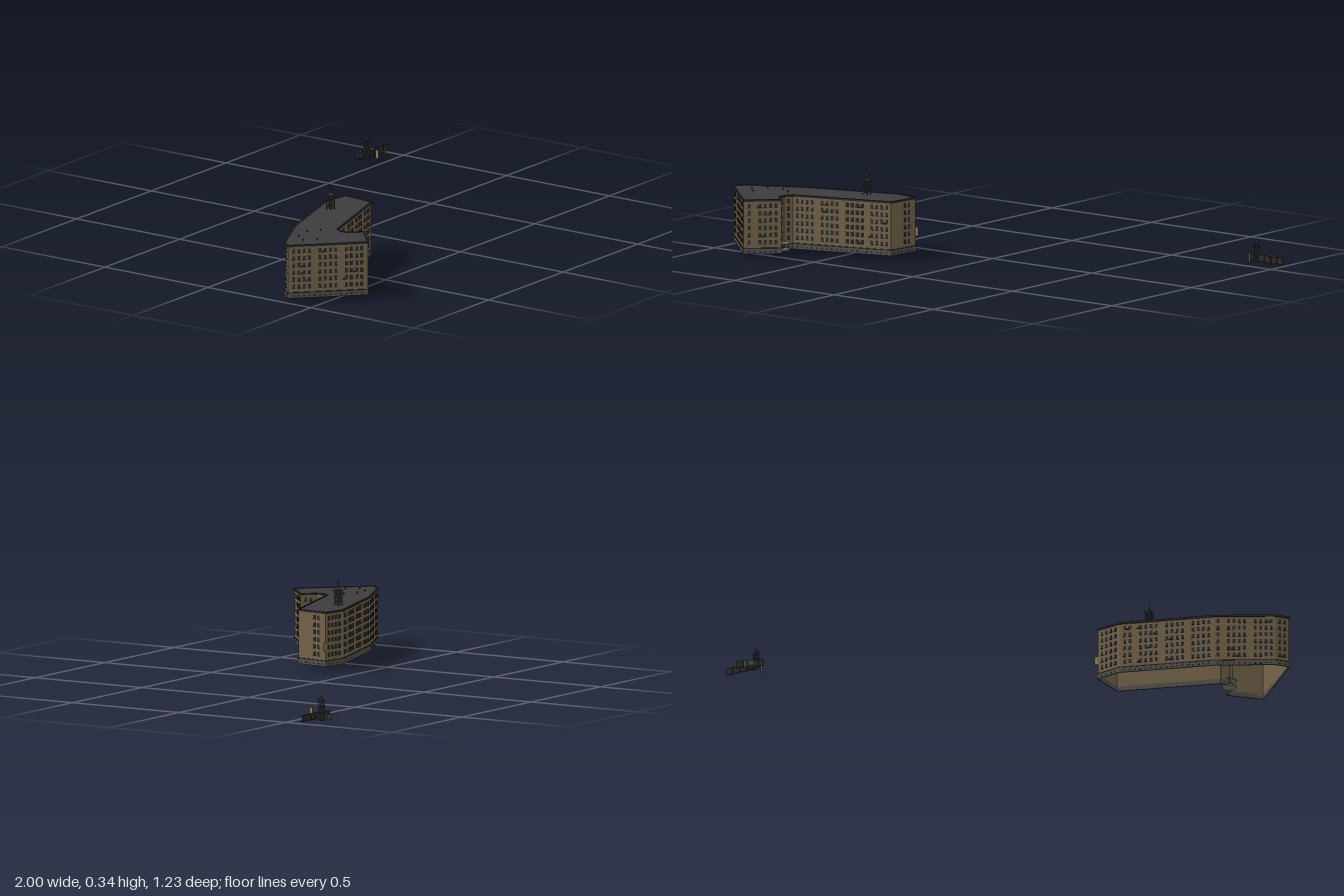
import * as THREE from 'three';
import { mergeGeometries } from 'three/addons/utils/BufferGeometryUtils.js';

const mat = (color) => new THREE.MeshStandardMaterial({ color, side: THREE.DoubleSide });
const WALL = mat(0x75644a), ROOF = mat(0x3c3c3e), STONE = mat(0x55524f), TRIM = mat(0x2e2b29),
  GLASS = mat(0x2a2e36), METAL = mat(0x46484a), BOARD = mat(0x94795a), GREY = mat(0x77787a);

// Footprint corners as [x, z], running clockwise seen from above
const PLAN = [[-0.995, 0.385], [-0.955, 0.342], [-0.74, 0.237], [-0.377, 0.127], [-0.275, 0.142],
  [-0.289, 0.278], [-0.685, 0.4], [-0.706, 0.432], [-0.701, 0.465], [-0.657, 0.508], [-0.767, 0.608]];

function box(w, h, d, x, y, z) {
  return new THREE.BoxGeometry(w, h, d).translate(x, y, z);
}

function bar(a, b, r = 0.0012) {
  const p = new THREE.Vector3(...a), q = new THREE.Vector3(...b);
  const dir = q.clone().sub(p), len = dir.length();
  const g = new THREE.CylinderGeometry(r, r, len, 5);
  g.applyQuaternion(new THREE.Quaternion().setFromUnitVectors(new THREE.Vector3(0, 1, 0), dir.normalize()));
  return g.translate((p.x + q.x) / 2, (p.y + q.y) / 2, (p.z + q.z) / 2);
}

function addPart(group, name, geos, material) {
  const mesh = new THREE.Mesh(mergeGeometries(geos), material);
  mesh.name = name;
  group.add(mesh);
}

const edges = PLAN.map((p, i) => {
  const q = PLAN[(i + 1) % PLAN.length];
  const dx = q[0] - p[0], dz = q[1] - p[1];
  return { p, len: Math.hypot(dx, dz), angle: -Math.atan2(dz, dx) };
});

// Box on a facade: s along the edge, out = how far it stands proud
function onEdge(e, s, y, w, h, out, depth) {
  return box(w, h, depth, s, y, depth / 2 - out).rotateY(e.angle).translate(e.p[0], 0, e.p[1]);
}

const band = (y0, y1, out, depth) =>
  edges.map((e) => onEdge(e, e.len / 2, (y0 + y1) / 2, e.len + out, y1 - y0, out, depth));

// Square lattice tower with rings and diagonal braces
function lattice(cx, cz, y0, y1, half, levels) {
  const geos = [];
  const c = [[-1, -1], [1, -1], [1, 1], [-1, 1]].map(([a, b]) => [cx + a * half, cz + b * half]);
  const step = (y1 - y0) / levels;
  c.forEach(([x, z], i) => {
    const [u, v] = c[(i + 1) % 4];
    geos.push(bar([x, y0, z], [x, y1, z], 0.0018));
    for (let k = 0; k < levels; k++) {
      const a = y0 + k * step, b = a + step;
      geos.push(bar([x, b, z], [u, b, v], 0.0016));
      geos.push(bar([x, k % 2 ? b : a, z], [u, k % 2 ? a : b, v], 0.001));
    }
  });
  return geos;
}

function makeBuilding() {
  const g = new THREE.Group();
  g.name = 'building';
  let seed = 7;
  const rnd = () => (seed = (seed * 16807) % 2147483647) / 2147483647;

  addPart(g, 'walls', band(0.03, 0.228, 0, 0.002), WALL);
  addPart(g, 'plinth', band(0.018, 0.038, 0.003, 0.005), STONE);
  addPart(g, 'cornice', [...band(0.227, 0.235, 0.004, 0.007), ...band(0.038, 0.042, 0.004, 0.004)], TRIM);

  const shape = new THREE.Shape(PLAN.map(([x, z]) => new THREE.Vector2(x, z)));
  const roof = new THREE.ExtrudeGeometry(shape, { depth: 0.006, bevelEnabled: false });
  addPart(g, 'roof', [roof.rotateX(Math.PI / 2).translate(0, 0.233, 0)], ROOF);

  // Window columns, grouped with blank strips between; the end wall is mostly plain
  const windows = [], sills = [], units = [], cellar = [];
  edges.forEach((e, i) => {
    const n = Math.floor((e.len - 0.008) / 0.021);
    for (let k = 0; k < n; k++) {
      const s = e.len / 2 + (k - (n - 1) / 2) * 0.021;
      cellar.push(onEdge(e, s, 0.027, 0.009, 0.006, 0.0036, 0.002));
      if (n > 3 && (k % 5 === 4 || (i === 4 && k !== 1 && k !== 2))) continue;
      for (let r = 0; r < 6; r++) {
        const y = 0.065 + r * 0.029;
        windows.push(onEdge(e, s, y, 0.011, 0.015, 0.0012, 0.003));
        sills.push(onEdge(e, s, y - 0.0085, 0.012, 0.0015, 0.0025, 0.004));
        if (rnd() < 0.06) units.push(onEdge(e, s + 0.009, y - 0.006, 0.007, 0.006, 0.006, 0.007));
      }
    }
  });
  addPart(g, 'windows', windows, GLASS);
  addPart(g, 'windowSills', sills, TRIM);
  addPart(g, 'cellarWindows', cellar, GLASS);
  addPart(g, 'wallUnits', units, METAL);

  // Entrance in the inner corner with a round canopy and steps
  const canopy = [[0.046, 0.004, 0.03], [0.021, 0.006, 0.028]].map(([y, h, r]) =>
    new THREE.CylinderGeometry(r, r, h, 20).translate(-0.698, y, 0.45));
  addPart(g, 'entranceCanopy', canopy, GREY);
  addPart(g, 'entranceDoors', [onEdge(edges[7], 0.016, 0.035, 0.024, 0.02, 0.005, 0.004)], GLASS);

  // Hanging sign and brackets at the far corner
  addPart(g, 'cornerSign', [box(0.014, 0.035, 0.003, -0.268, 0.098, 0.142)], BOARD);
  addPart(g, 'signBrackets', [0.085, 0.112].map((y) => bar([-0.28, y, 0.142], [-0.262, y, 0.142])), METAL);

  // Small roof vents
  const vents = [[-0.9, 0.39], [-0.86, 0.43], [-0.79, 0.33], [-0.74, 0.36], [-0.86, 0.34]].map(([x, z]) =>
    new THREE.CylinderGeometry(0.003, 0.003, 0.007, 8).translate(x, 0.2365, z));
  addPart(g, 'roofVents', vents, METAL);
  return g;
}

function makeRoofTower() {
  const g = new THREE.Group();
  g.name = 'roofTower';
  const x = -0.467, z = 0.209;
  addPart(g, 'towerFrame', lattice(x, z, 0.233, 0.293, 0.011, 4), METAL);
  addPart(g, 'towerPlatform', [box(0.03, 0.003, 0.03, x, 0.293, z)], METAL);
  const mast = [bar([x, 0.29, z], [x, 0.338, z], 0.0015), bar([x - 0.008, 0.313, z], [x + 0.008, 0.313, z])];
  for (const s of [-1, 1]) {
    mast.push(box(0.004, 0.013, 0.005, x + s * 0.015, 0.291, z), box(0.005, 0.013, 0.004, x, 0.291, z + s * 0.015));
  }
  mast.push(box(0.006, 0.012, 0.006, x, 0.312, z));
  addPart(g, 'towerAntennas', mast, METAL);
  return g;
}

function makeOutpost() {
  const g = new THREE.Group();
  g.name = 'outpost';
  const x = 0.865, z = -0.58;
  addPart(g, 'mastFrame', lattice(x, z, 0.005, 0.07, 0.009, 4), METAL);
  addPart(g, 'mastTop', [
    bar([x, 0.07, z], [x, 0.098, z], 0.0018), bar([x - 0.016, 0.075, z], [x + 0.012, 0.075, z]),
    bar([x, 0.08, z - 0.013], [x, 0.08, z + 0.017]), box(0.007, 0.012, 0.007, x, 0.087, z),
    box(0.004, 0.01, 0.005, x - 0.016, 0.076, z), box(0.005, 0.01, 0.004, x, 0.08, z + 0.016),
    box(0.005, 0.01, 0.004, x, 0.074, z - 0.012),
  ], METAL);
  addPart(g, 'equipmentCabinets', [
    box(0.026, 0.022, 0.02, 0.868, 0.016, -0.61), box(0.016, 0.026, 0.016, 0.895, 0.018, -0.61),
    box(0.012, 0.02, 0.012, 0.885, 0.015, -0.59),
  ], METAL);

  // Fence runs made of separate panels with rails and slats
  const fence = [];
  const run = (x0, count, fz, w) => {
    for (let k = 0; k < count; k++) {
      const c = x0 + (k + 0.5) * w;
      fence.push(box(w * 0.88, 0.024, 0.002, c, 0.02, fz));
      fence.push(box(w * 0.9, 0.002, 0.004, c, 0.033, fz), box(w * 0.9, 0.002, 0.004, c, 0.008, fz));
      fence.push(bar([c - w * 0.4, 0, fz], [c - w * 0.4, 0.036, fz], 0.0014));
    }
  };
  run(0.875, 4, -0.577, 0.0315);
  run(0.825, 2, -0.593, 0.02);
  run(0.9, 1, -0.618, 0.036);
  addPart(g, 'fencePanels', fence, TRIM);

  addPart(g, 'noticeBoard', [box(0.002, 0.034, 0.014, 0.866, 0.029, -0.532)], BOARD);
  addPart(g, 'noticeFrame', [-0.539, -0.525].map((pz) => bar([0.866, 0.01, pz], [0.866, 0.048, pz])), METAL);
  return g;
}

export function createModel() {
  const model = new THREE.Group();
  model.name = 'model';
  model.add(makeBuilding(), makeRoofTower(), makeOutpost());
  return model;
}
